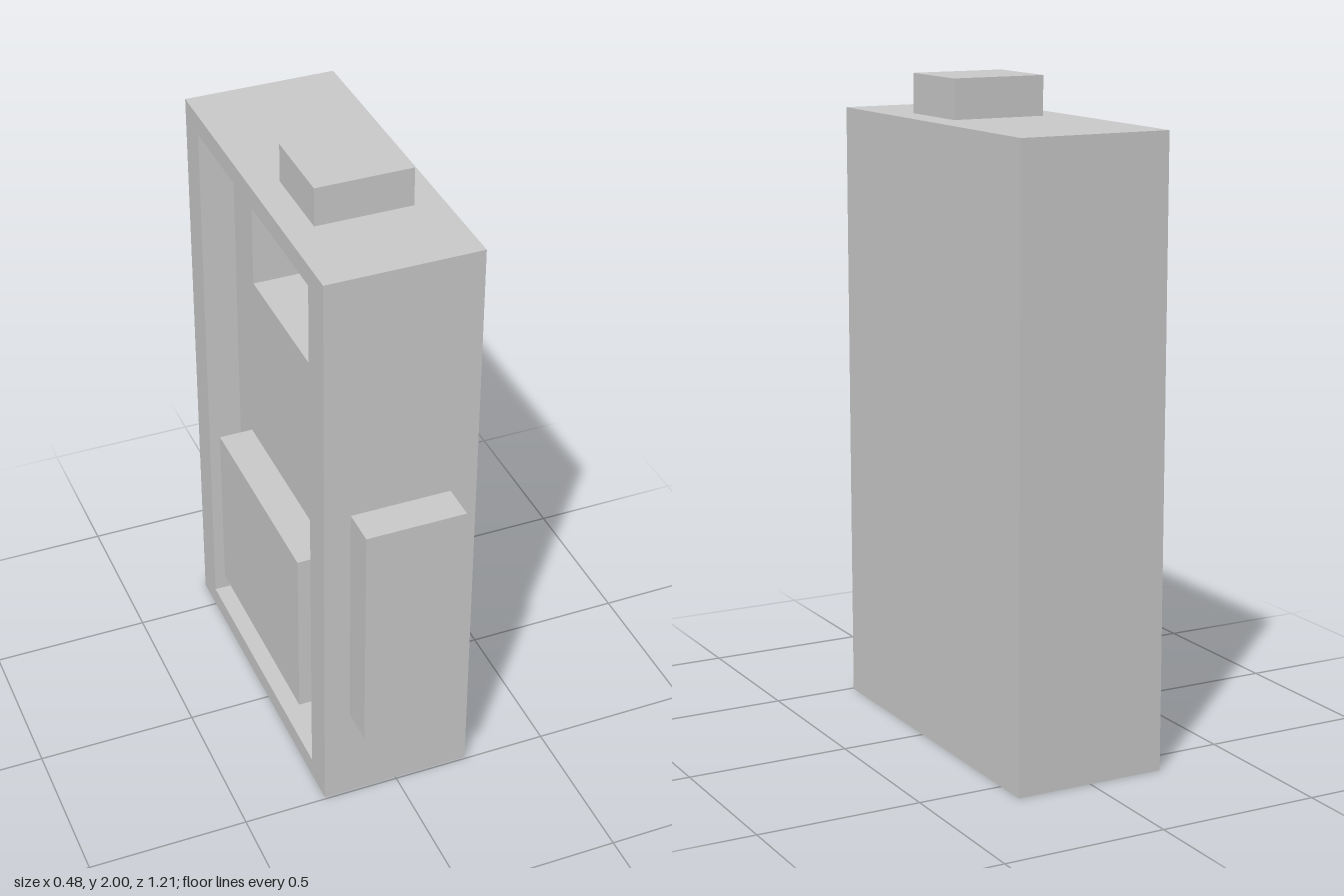
import * as THREE from 'three';

// Outer shell bounds: HX half width, HEIGHT, and depth Z0 (back) to Z1 (front)
const HX = 0.237, HEIGHT = 1.88, Z0 = -0.607, Z1 = 0.493;
const FLOOR = -0.13;   // x of the recess floor
const POCKET = 0.035;  // x of the pocket floor

export function createModel() {
  const group = new THREE.Group();
  const material = new THREE.MeshStandardMaterial({ color: 0xcccccc, flatShading: true });

  const add = (name, geometry) => {
    const mesh = new THREE.Mesh(geometry, material);
    mesh.name = name;
    group.add(mesh);
    return mesh;
  };

  // Box given by its [min, max] on each axis
  const box = (name, [x0, x1], [y0, y1], [z0, z1]) => {
    add(name, new THREE.BoxGeometry(x1 - x0, y1 - y0, z1 - z0))
      .position.set((x0 + x1) / 2, (y0 + y1) / 2, (z0 + z1) / 2);
  };

  const rectangle = (Type, [z0, z1], [y0, y1]) => new Type([
    new THREE.Vector2(z0, y0), new THREE.Vector2(z1, y0),
    new THREE.Vector2(z1, y1), new THREE.Vector2(z0, y1),
  ]);

  // Slab of the shell between two x values, with a rectangular opening
  const openSlab = (name, [x0, x1], holeZ, holeY) => {
    const shape = rectangle(THREE.Shape, [Z0, Z1], [0, HEIGHT]);
    shape.holes.push(rectangle(THREE.Path, holeZ, holeY));
    const geometry = new THREE.ExtrudeGeometry(shape, { depth: x1 - x0, bevelEnabled: false });
    geometry.rotateY(-Math.PI / 2); // shape x becomes z, depth runs towards -x
    geometry.translate(x1, 0, 0);
    add(name, geometry);
  };

  // Shell: closed side, panel with the upper pocket, and the rim of the open side
  box('closedSide', [POCKET, HX], [0, HEIGHT], [Z0, Z1]);
  openSlab('pocketPanel', [FLOOR, POCKET], [-0.345, 0.23], [1.36, 1.69]);
  openSlab('recessRim', [-HX, FLOOR], [-0.5, 0.385], [0.064, 1.816]);

  // Raised block inside the recess
  box('recessBlock', [-0.239, FLOOR], [0.21, 0.78], [-0.39, 0.285]);

  // Blocks on the front and on the top
  box('frontBlock', [-0.155, 0.155], [0.32, 1.085], [Z1, 0.607]);
  box('topButton', [-0.149, 0.149], [HEIGHT, 2], [-0.053, 0.208]);

  return group;
}
